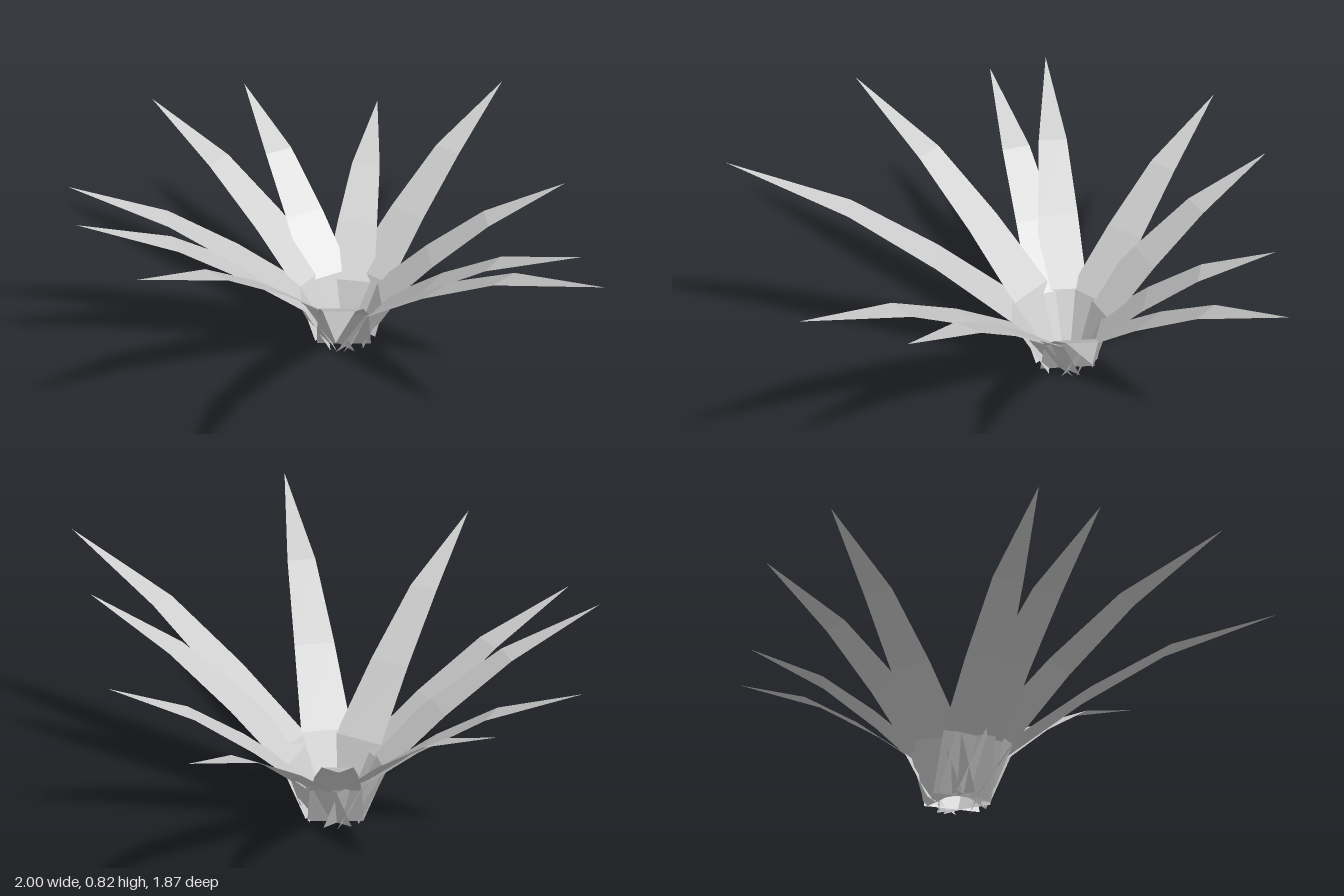
import * as THREE from 'three';

// Centre of the rosette
const CX = -0.155, CZ = -0.045;
const BASE_RADIUS = 0.058;

// Leaf tips: x, y, z
const TIPS = [
  [-0.40, 0.65, -0.94], [0.23, 0.60, -0.73], [0.71, 0.68, -0.40], [1.0, 0.79, -0.235],
  [0.79, 0.82, 0.64], [0.11, 0.78, 0.93], [-0.43, 0.67, 0.86], [-0.63, 0.69, 0.78],
  [-1.0, 0.68, 0.225], [-0.95, 0.645, -0.145], [-0.665, 0.57, -0.555],
];

// Blade stations: fraction of reach, fraction of height, half width
const STATIONS = [
  [0, 0, 0.098],
  [0.165, 0.275, 0.09],
  [0.39, 0.535, 0.073],
  [0.645, 0.78, 0.052],
  [1, 1, 0],
];

// One arching blade, flat across its width and folded at each station
function leafGeometry([tx, ty, tz]) {
  const dx = tx - CX, dz = tz - CZ;
  const reach = Math.hypot(dx, dz);
  const ux = dx / reach, uz = dz / reach;
  const positions = [], index = [];
  STATIONS.forEach(([out, up, half], i) => {
    const r = Math.max(BASE_RADIUS, out * reach);
    for (const s of [-1, 1]) {
      positions.push(CX + ux * r + s * uz * half, up * ty, CZ + uz * r - s * ux * half);
    }
    if (i === 0) return;
    const a = (i - 1) * 2;
    index.push(a, a + 1, a + 2);
    if (half > 0) index.push(a + 1, a + 3, a + 2);
  });
  const geometry = new THREE.BufferGeometry();
  geometry.setAttribute('position', new THREE.Float32BufferAttribute(positions, 3));
  geometry.setIndex(index);
  const flat = geometry.toNonIndexed();
  flat.computeVertexNormals();
  return flat;
}

export function createModel() {
  const plant = new THREE.Group();
  plant.name = 'spikyPlant';
  const leafGrey = new THREE.MeshStandardMaterial({
    color: 0xcccccc, side: THREE.DoubleSide, flatShading: true,
  });
  leafGrey.name = 'leaf grey';

  // Ring of leaves around the open centre
  TIPS.forEach((tip, i) => {
    const leaf = new THREE.Mesh(leafGeometry(tip), leafGrey);
    leaf.name = `leaf${i + 1}`;
    plant.add(leaf);
  });
  return plant;
}
